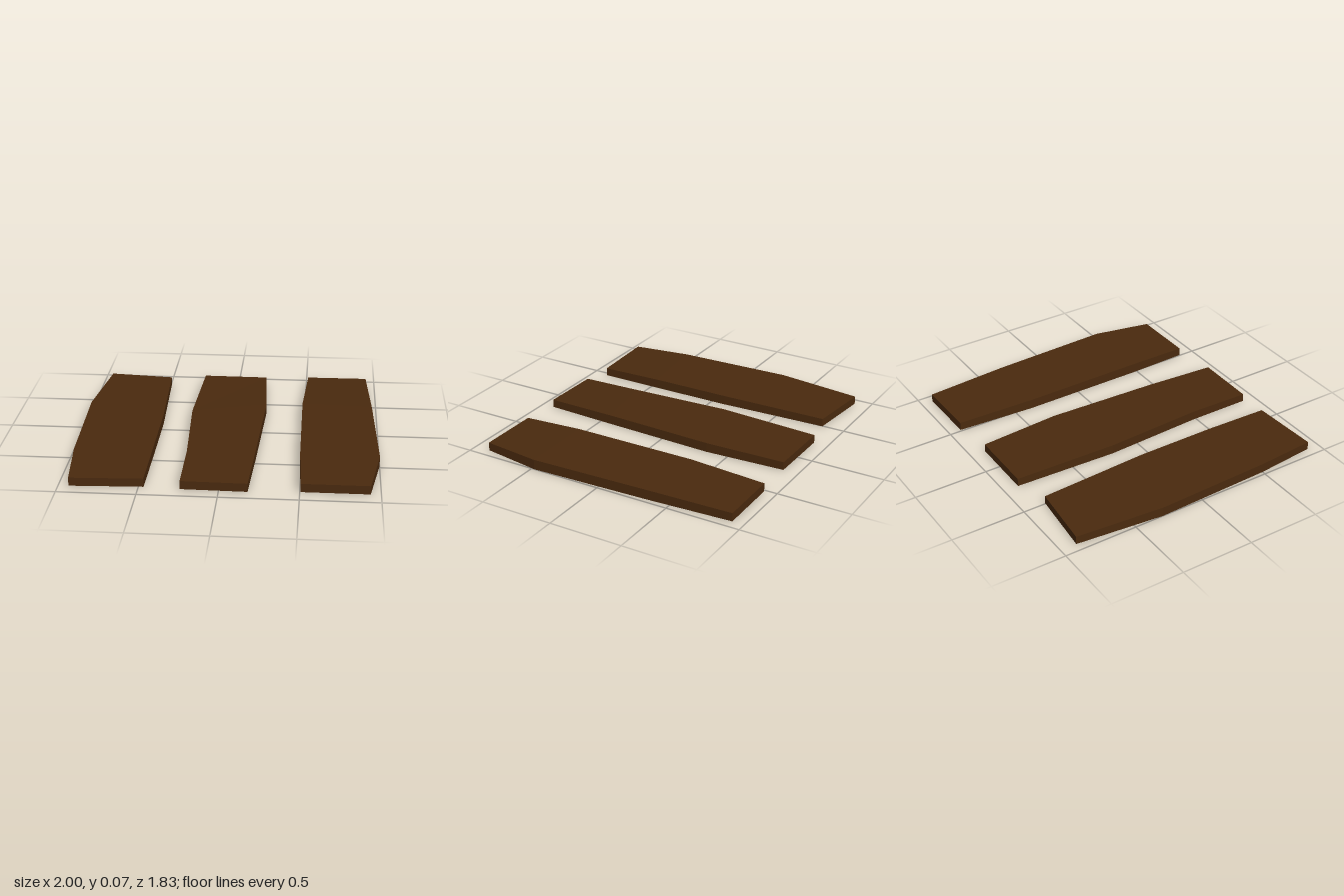
import * as THREE from 'three';

// Each plank: four [x, z] points per long edge, back to front, and the top height at each station
const planks = [
  {
    name: 'rightPlank',
    right: [[-0.94, -0.89], [-1, -0.3], [-0.975, 0.5], [-0.935, 0.91]],
    left: [[-0.495, -0.845], [-0.465, -0.1], [-0.465, 0.45], [-0.468, 0.89]],
    top: [0.055, 0.064, 0.064, 0.055],
  },
  {
    name: 'middlePlank',
    right: [[-0.247, -0.9], [-0.275, -0.2], [-0.241, 0.48], [-0.241, 0.905]],
    left: [[0.203, -0.895], [0.233, -0.35], [0.203, 0.42], [0.18, 0.912]],
    top: [0.055, 0.064, 0.064, 0.055],
  },
  {
    name: 'leftPlank',
    right: [[0.513, -0.916], [0.484, -0.38], [0.49, 0.48], [0.505, 0.89]],
    left: [[0.935, -0.92], [0.968, -0.35], [1, 0.48], [0.935, 0.89]],
    top: [0.056, 0.066, 0.068, 0.056],
  },
];

// Reshape a box with three lengthwise segments to the plank's edges
function makePlank({ name, left, right, top }, material) {
  const geometry = new THREE.BoxGeometry(1, 1, 1, 1, 1, 3);
  const p = geometry.attributes.position;
  for (let i = 0; i < p.count; i++) {
    const station = Math.round((p.getZ(i) + 0.5) * 3);
    const [x, z] = (p.getX(i) > 0 ? left : right)[station];
    p.setXYZ(i, x, p.getY(i) > 0 ? top[station] : 0, z);
  }
  geometry.computeVertexNormals();
  const mesh = new THREE.Mesh(geometry, material);
  mesh.name = name;
  return mesh;
}

export function createModel() {
  const group = new THREE.Group();
  group.name = 'planks';
  const wood = new THREE.MeshStandardMaterial({ color: 0x4a2a0e, flatShading: true });
  for (const plank of planks) group.add(makePlank(plank, wood));
  return group;
}
